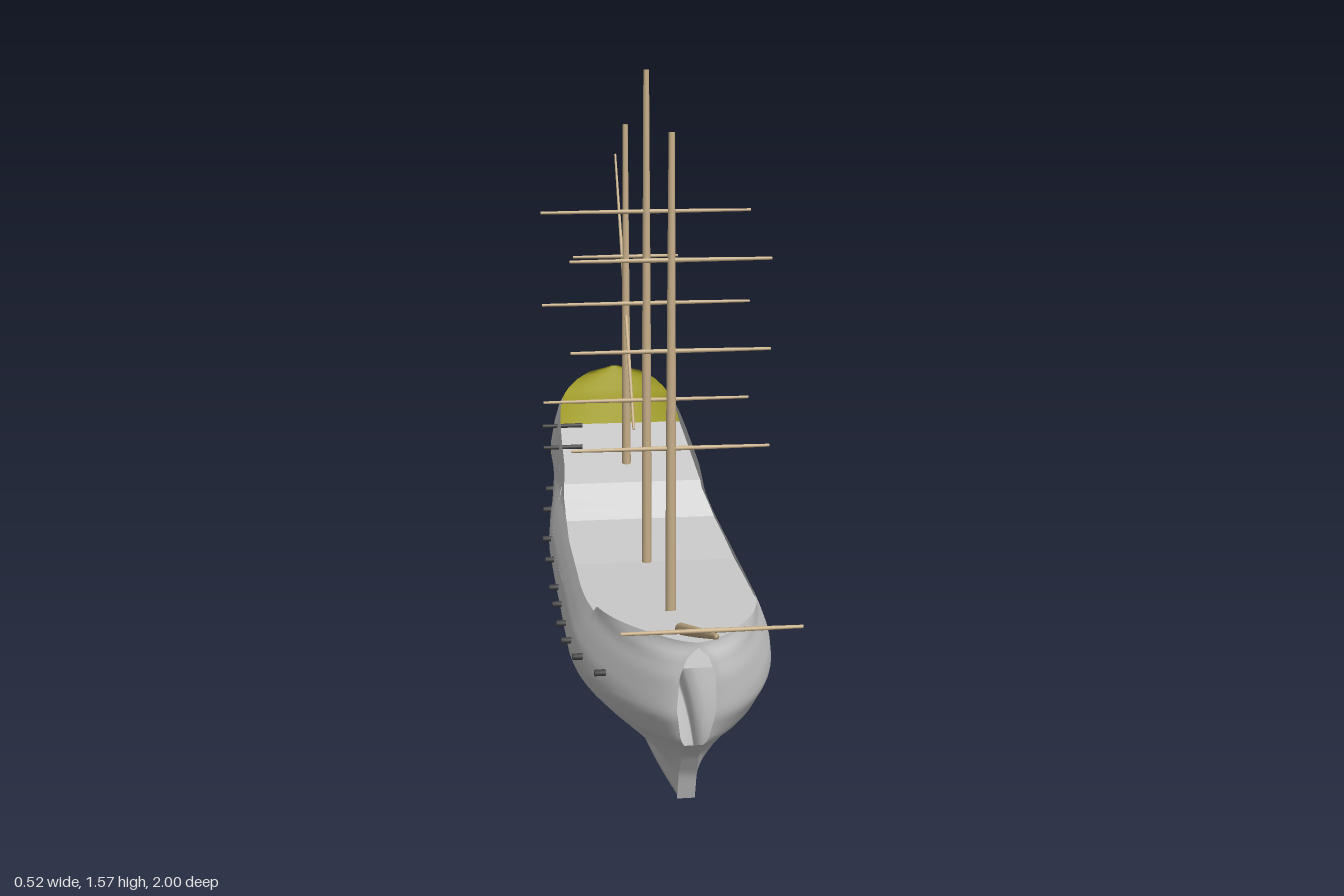
import * as THREE from 'three';

// Piecewise-linear lookup in a table of [key, value], keys ascending
function table(points) {
  return (k) => {
    if (k <= points[0][0]) return points[0][1];
    for (let i = 1; i < points.length; i++) {
      const [k0, v0] = points[i - 1], [k1, v1] = points[i];
      if (k <= k1) return v0 + (v1 - v0) * (k - k0) / (k1 - k0);
    }
    return points[points.length - 1][1];
  };
}

const { lerp, clamp } = THREE.MathUtils;

// Hull lines: stern, stem and half-breadths by height, rail height by length
const sternZ = table([[0, -0.86], [0.2, -0.865], [0.37, -0.895], [0.56, -0.945], [0.645, -0.985]]);
const stemZ = table([[0, 0.575], [0.02, 0.588], [0.09, 0.615], [0.155, 0.66], [0.21, 0.715],
  [0.28, 0.743], [0.37, 0.758], [0.46, 0.767]]);
const beam = table([[0, 0], [0.012, 0.062], [0.03, 0.07], [0.07, 0.075], [0.095, 0.095], [0.115, 0.13],
  [0.14, 0.175], [0.17, 0.205], [0.22, 0.228], [0.27, 0.235], [0.32, 0.228], [0.36, 0.213],
  [0.4, 0.195], [0.5, 0.182], [0.6, 0.17]]);
const sternHalf = table([[0, 0.03], [0.1, 0.025], [0.17, 0.033], [0.21, 0.055], [0.25, 0.095], [0.3, 0.15],
  [0.35, 0.185], [0.4, 0.198], [0.44, 0.197], [0.5, 0.184], [0.55, 0.168], [0.585, 0.145],
  [0.615, 0.112], [0.635, 0.07], [0.645, 0.02]]);
const stemHalf = table([[0, 0.02], [0.12, 0.02], [0.19, 0.015], [0.22, 0.03], [0.3, 0.042], [0.38, 0.038],
  [0.425, 0.022], [0.445, 0]]);
const bulge = table([[0, 0], [0.22, 0], [0.36, 0.038], [0.55, 0.036], [0.645, 0.015]]);
const rail = table([[-0.945, 0.568], [-0.7, 0.51], [-0.53, 0.477], [-0.505, 0.462], [-0.485, 0.425],
  [-0.46, 0.412], [-0.35, 0.397], [-0.16, 0.386], [0.2, 0.39], [0.405, 0.402], [0.425, 0.42],
  [0.7, 0.455], [0.767, 0.458]]);

// Half-breadth at length s (0 stern, 1 stem) and height y
function halfWidth(s, y) {
  const length = stemZ(y) - sternZ(y);
  const high = clamp((y - 0.08) / 0.2, 0, 1);
  const tb = clamp(1 - (1 - s) * length / lerp(0.65, 0.5, high), 0, 1);
  const bow = Math.pow(1 - tb * tb, lerp(1, 0.6, high));
  const ts = clamp(1 - s * length / lerp(0.75, 0.45, high), 0, 1);
  const b = beam(y);
  const aft = lerp(b, Math.min(sternHalf(y), y < 0.01 ? b : 1), ts * ts);
  return s > 0.5 ? lerp(Math.min(stemHalf(y), b), b, bow) : aft;
}

// Grid surface from fn(u, v) -> [x, y, z], u and v in 0..1
function grid(nu, nv, fn) {
  const pos = [], idx = [];
  for (let i = 0; i <= nu; i++) for (let j = 0; j <= nv; j++) pos.push(...fn(i / nu, j / nv));
  for (let i = 0; i < nu; i++) for (let j = 0; j < nv; j++) {
    const a = i * (nv + 1) + j, b = a + nv + 1;
    idx.push(a, b, a + 1, b, b + 1, a + 1);
  }
  const g = new THREE.BufferGeometry();
  g.setAttribute('position', new THREE.Float32BufferAttribute(pos, 3));
  g.setIndex(idx);
  g.computeVertexNormals();
  return g;
}

export function createModel() {
  const ship = new THREE.Group();
  ship.name = 'sailingShip';
  const grey = new THREE.MeshStandardMaterial({ color: 0xcccccc, side: THREE.DoubleSide });
  const greyFlat = new THREE.MeshStandardMaterial({ color: 0xcccccc, side: THREE.DoubleSide, flatShading: true });
  const yellow = new THREE.MeshStandardMaterial({ color: 0xada82a, side: THREE.DoubleSide });
  const wood = new THREE.MeshStandardMaterial({ color: 0xc8b08a });
  const iron = new THREE.MeshStandardMaterial({ color: 0x444444 });

  const add = (name, geometry, material) => {
    const m = new THREE.Mesh(geometry, material);
    m.name = name;
    ship.add(m);
    return m;
  };

  // Hull shell, both sides in one sweep from rail to rail
  add('hull', grid(110, 72, (u, v) => {
    const s = 1 - Math.pow(1 - u, 1.5);
    const side = v * 2 - 1;
    const top = rail(lerp(-0.945, 0.767, s));
    const y = lerp(0.02 * s, top, Math.abs(side));
    const x = side === 0 ? 0 : Math.sign(side) * halfWidth(s, y);
    return [x, y, lerp(sternZ(y), stemZ(y), s)];
  }), grey);

  // Flat stem face below the open bow slot
  add('stem', grid(12, 2, (u, v) => {
    const y = lerp(0.02, 0.2, u);
    return [(v * 2 - 1) * stemHalf(y), y, stemZ(y)];
  }), grey);

  // Rounded stern: counter below, coloured transom above
  const stern = (name, y0, y1, material) => add(name, grid(24, 20, (u, v) => {
    const y = lerp(y0, y1, u), t = v * 2 - 1;
    return [t * sternHalf(y), y, sternZ(y) - bulge(y) * (1 - t * t)];
  }), material);
  stern('sternCounter', 0, 0.375, grey);
  stern('transom', 0.375, 0.645, yellow);

  // Stepped deck following the hull sides
  const deckY = table([[-0.93, 0.485], [-0.53, 0.42], [-0.478, 0.33], [-0.16, 0.315], [0.32, 0.342],
    [0.355, 0.348], [0.36, 0.375], [0.75, 0.395]]);
  const sections = [['quarterDeck', -0.93, -0.53], ['deckBulkhead', -0.53, -0.478], ['mainDeck', -0.478, 0.355],
    ['forecastleStep', 0.355, 0.36], ['forecastleDeck', 0.36, 0.75]];
  for (const [name, z0, z1] of sections) {
    add(name, grid(Math.ceil((z1 - z0) / 0.025), 2, (u, v) => {
      const z = lerp(z0, z1, u), y = deckY(z);
      const s = clamp((z - sternZ(y)) / (stemZ(y) - sternZ(y)), 0, 1);
      return [(1 - v * 2) * halfWidth(s, y), y, z];
    }), greyFlat);
  }

  // Round spar between two points with radii at start, middle and end
  const spar = (name, a, b, r0, r1, r2, material = wood) => {
    const from = new THREE.Vector3(...a), to = new THREE.Vector3(...b);
    const h = from.distanceTo(to) / 2;
    const profile = [[0, -h], [r0, -h], [r1, 0], [r2, h], [0, h]].map((p) => new THREE.Vector2(...p));
    const m = add(name, new THREE.LatheGeometry(profile, 12), material);
    m.position.copy(from).lerp(to, 0.5);
    m.quaternion.setFromUnitVectors(new THREE.Vector3(0, 1, 0), to.sub(from).normalize());
  };

  // Masts with their crossing yards
  const masts = [
    ['fore', 0.32, 1.46, 0.225, [0.75, 0.975, 1.18]],
    ['main', -0.16, 1.565, 0.26, [0.745, 0.993, 1.222]],
    ['mizzen', -0.655, 1.39, 0.145, [1.03]],
  ];
  for (const [name, z, top, half, yards] of masts) {
    spar(name + 'Mast', [0, 0.23, z], [0, top, z], 0.013, 0.011, 0.007);
    for (const y of yards) spar(name + 'Yard', [-half, y, z], [half, y, z], 0.0035, 0.0055, 0.0035);
  }
  spar('slantedYard', [0, 0.59, -0.46], [0, 1.28, -0.935], 0.004, 0.005, 0.003);
  spar('bowsprit', [0, 0.385, 0.5], [0, 0.562, 1], 0.014, 0.011, 0.006);
  spar('bowspritYard', [-0.18, 0.555, 0.95], [0.18, 0.555, 0.95], 0.0035, 0.005, 0.0035);

  // Guns along the right side, and two on the quarterdeck
  for (const z of [-0.74, -0.61, -0.42, -0.28, -0.09, 0.03, 0.17, 0.3, 0.43, 0.57]) {
    const y = 0.28 + 0.12 * z * z;
    const s = (z - sternZ(y)) / (stemZ(y) - sternZ(y));
    const x = -halfWidth(s, y);
    spar('gun', [x + 0.04, y, z], [x - 0.022, y, z], 0.009, 0.008, 0.007, iron);
  }
  spar('deckGun', [-0.11, 0.505, -0.84], [-0.225, 0.505, -0.84], 0.007, 0.006, 0.005, iron);
  spar('deckGun', [-0.12, 0.475, -0.715], [-0.23, 0.475, -0.715], 0.007, 0.006, 0.005, iron);

  return ship;
}
